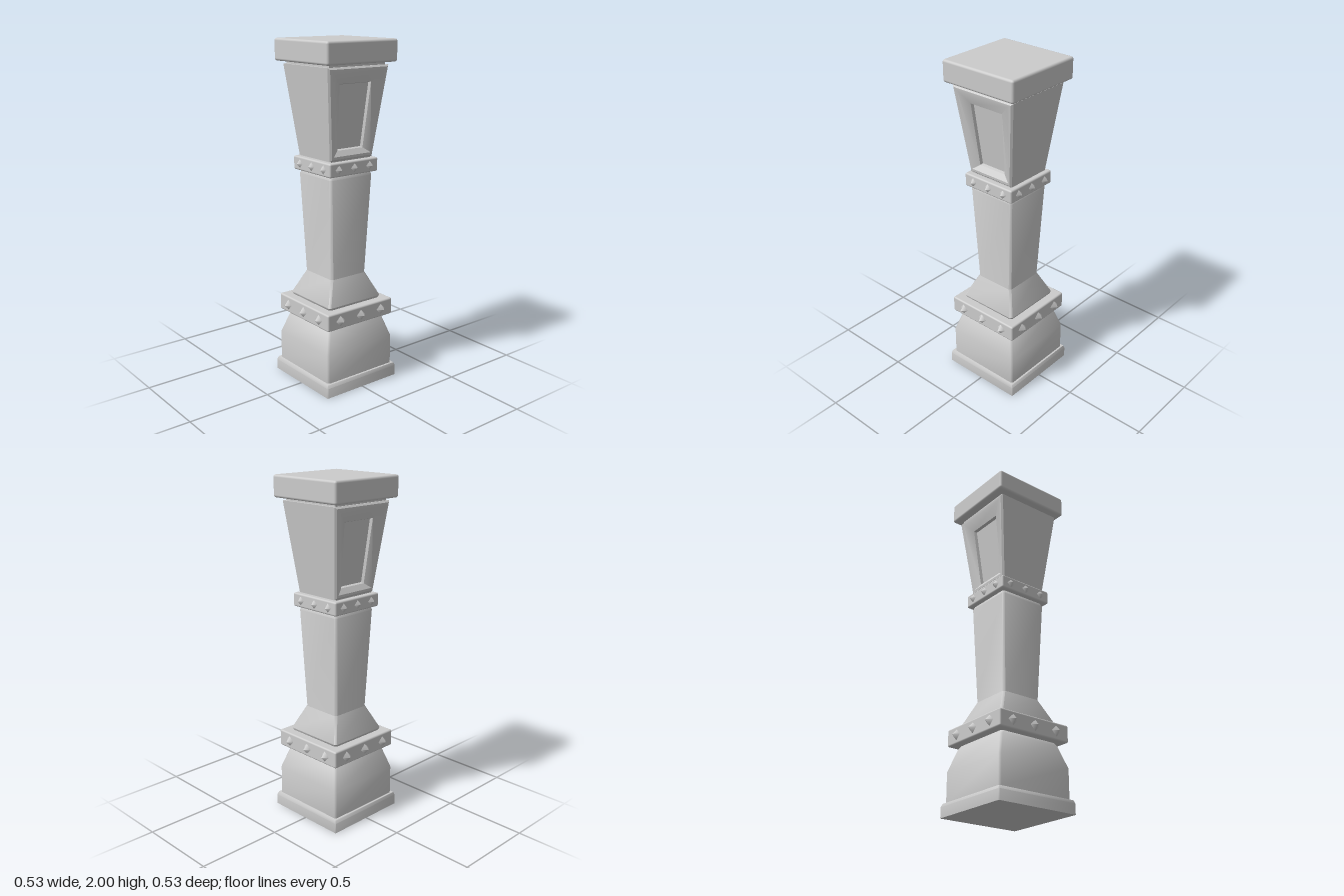
import * as THREE from 'three';
import { toCreasedNormals } from 'three/addons/utils/BufferGeometryUtils.js';
import { RoundedBoxGeometry } from 'three/addons/geometries/RoundedBoxGeometry.js';

const material = new THREE.MeshStandardMaterial({ color: 0xcccccc });

function addMesh(parent, name, geometry) {
  const mesh = new THREE.Mesh(geometry, material);
  mesh.name = name;
  parent.add(mesh);
  return mesh;
}

// Skins equal-length rings (counterclockwise about the sweep axis) and closes both ends
function loft(rings, crease) {
  const n = rings[0].length;
  const last = (rings.length - 1) * n;
  const index = [];
  for (let i = 0; i < rings.length - 1; i++) {
    for (let j = 0; j < n; j++) {
      const k = (j + 1) % n;
      const a = i * n + j, b = i * n + k, c = b + n, d = a + n;
      index.push(a, b, c, a, c, d);
    }
  }
  for (let j = 1; j < n - 1; j++) {
    index.push(0, j + 1, j, last, last + j, last + j + 1);
  }
  const geometry = new THREE.BufferGeometry();
  geometry.setAttribute('position', new THREE.Float32BufferAttribute(rings.flat(2), 3));
  geometry.setIndex(index);
  return toCreasedNormals(geometry, crease);
}

// Square ring with chamfered corners: half width h, height y, chamfer c
function squareRing([h, y, c = 0.012]) {
  const k = h - c;
  return [[k, h], [h, k], [h, -k], [k, -h], [-k, -h], [-h, -k], [-h, k], [-k, h]]
    .map(([x, z]) => [x, y, z]);
}

const squareColumn = (profile) => loft(profile.map(squareRing), 0.9);

// Square collar with three pointed studs on each side
function studdedBand(name, half, y, height, spacing, radius, length) {
  const band = new THREE.Group();
  band.name = name;
  band.position.y = y;
  addMesh(band, 'collar', new RoundedBoxGeometry(half * 2, height, half * 2, 2, 0.01));
  const stud = new THREE.ConeGeometry(radius, length, 4, 1, true);
  stud.rotateX(Math.PI / 2);
  for (let side = 0; side < 4; side++) {
    const row = new THREE.Group();
    row.name = 'studRow';
    row.rotation.y = side * Math.PI / 2;
    for (const x of [-spacing, 0, spacing]) {
      addMesh(row, 'stud', stud).position.set(x, 0, half + length / 2 - 0.001);
    }
    band.add(row);
  }
  return band;
}

// Flared block swept front to back, with a sunken panel in the front and back
function capitalGeometry() {
  const half = (y) => 0.15 + (y - 1.345) * 0.12;
  const ring = (side, [wTop, wBottom, top, bottom, depth]) =>
    [[wTop, top], [-wTop, top], [-wBottom, bottom], [wBottom, bottom]]
      .map(([x, y]) => [x, y, side * (half(y) - depth)]);
  const steps = [
    [0.105, 0.085, 1.765, 1.405, 0.042], // panel floor
    [0.11, 0.09, 1.77, 1.4, 0.025], // inner step
    [0.175, 0.132, 1.835, 1.37, 0], // outer rim
    [half(1.85) - 0.01, half(1.355) - 0.01, 1.85, 1.355, 0], // face edge
    [half(1.86), half(1.345), 1.86, 1.345, 0.01], // block edge
  ];
  const rings = [
    ...steps.map((s) => ring(-1, s)),
    ...steps.slice().reverse().map((s) => ring(1, s)),
  ];
  return loft(rings, 0.6);
}

export function createModel() {
  const model = new THREE.Group();
  model.name = 'pillar';

  // Plinth and shouldered base block
  addMesh(model, 'base', squareColumn([
    [0.257, 0, 0.003], [0.257, 0.06, 0.003], [0.25, 0.078, 0.003],
    [0.24, 0.08], [0.24, 0.25], [0.2, 0.375], [0.185, 0.4],
  ]));
  model.add(studdedBand('lowerBand', 0.238, 0.445, 0.1, 0.15, 0.032, 0.03));

  // Flared foot and tapering shaft
  addMesh(model, 'shaft', squareColumn([
    [0.18, 0.49], [0.19, 0.51], [0.126, 0.65], [0.151, 1.24], [0.14, 1.265],
  ]));
  model.add(studdedBand('upperBand', 0.172, 1.3, 0.08, 0.11, 0.026, 0.023));

  // Narrow joints above the upper band and under the cap
  addMesh(model, 'lowerNeck', new THREE.BoxGeometry(0.28, 0.03, 0.28)).position.y = 1.345;
  addMesh(model, 'upperNeck', new THREE.BoxGeometry(0.39, 0.03, 0.39)).position.y = 1.868;
  addMesh(model, 'capital', capitalGeometry());

  // Cap slab
  addMesh(model, 'cap', new RoundedBoxGeometry(0.49, 0.125, 0.49, 2, 0.014)).position.y = 1.9375;
  return model;
}
